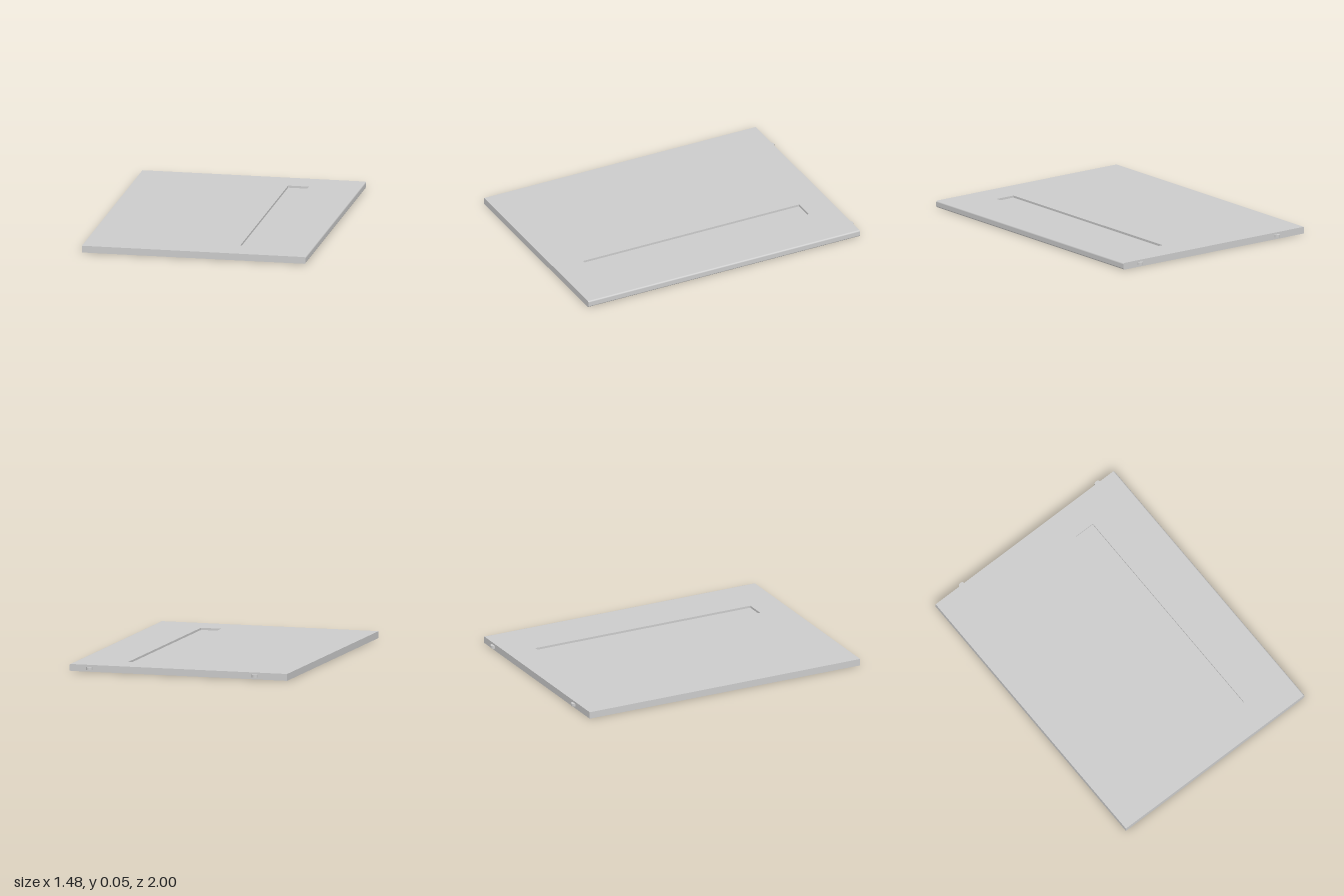
import * as THREE from 'three';

const material = new THREE.MeshStandardMaterial({ color: 0xcccccc });
const H = 0.045, X0 = -0.74, X1 = 0.74, Z0 = -0.98, Z1 = 1;
const R = 0.01; // fillet on the left edge
const slot = { x0: 0.265, x1: 0.403, z0: -0.78, z1: 0.795, depth: 0.014 };

function rect(target, x0, x1, z0, z1) {
  target.moveTo(x0, -z1);
  target.lineTo(x1, -z1);
  target.lineTo(x1, -z0);
  target.lineTo(x0, -z0);
  target.closePath();
  return target;
}

export function createModel() {
  const model = new THREE.Group();
  model.name = 'doorPanel';
  const add = (name, geometry, x = 0, y = 0, z = 0) => {
    const mesh = new THREE.Mesh(geometry, material);
    mesh.name = name;
    mesh.position.set(x, y, z);
    model.add(mesh);
  };

  // Board with an opening for the grip channel
  const outline = rect(new THREE.Shape(), X0, X1 - R, Z0, Z1);
  outline.holes.push(rect(new THREE.Path(), slot.x0, slot.x1, slot.z0, slot.z1));
  const board = new THREE.ExtrudeGeometry(outline, { depth: H, bevelEnabled: false });
  board.rotateX(-Math.PI / 2);
  add('board', board);

  // Rounded strip along the left edge
  const profile = new THREE.Shape();
  profile.moveTo(X1 - R, 0);
  profile.absarc(X1 - R, R, R, -Math.PI / 2, 0, false);
  profile.absarc(X1 - R, H - R, R, 0, Math.PI / 2, false);
  profile.closePath();
  add('roundedEdge', new THREE.ExtrudeGeometry(profile,
    { depth: Z1 - Z0, bevelEnabled: false, curveSegments: 8 }), 0, 0, Z0);

  // Web set back from both faces, forming a channel above and below
  add('channelFloor', new THREE.BoxGeometry(
    slot.x1 - slot.x0, H - 2 * slot.depth, slot.z1 - slot.z0),
  (slot.x0 + slot.x1) / 2, H / 2, (slot.z0 + slot.z1) / 2);

  // Half-round locating pegs on the back edge
  for (const x of [-0.52, 0.605]) {
    add('peg', new THREE.CylinderGeometry(0.021, 0.021, 0.018, 32), x, H / 2, Z0 + 0.001);
  }
  return model;
}
